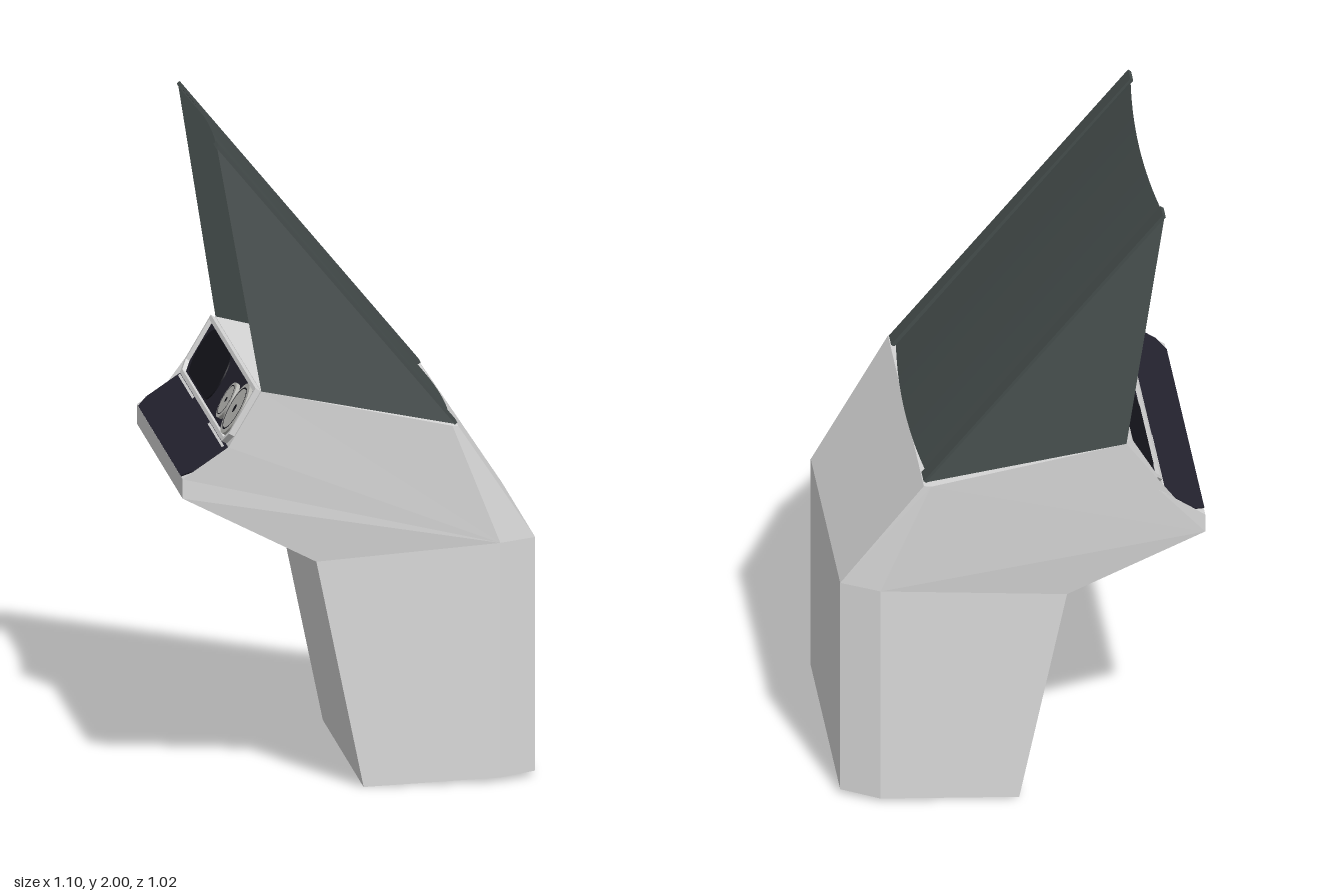
import * as THREE from 'three';

const mat = (name, color, double) => {
  const m = new THREE.MeshStandardMaterial({ color, side: double ? THREE.DoubleSide : THREE.FrontSide });
  m.name = name;
  return m;
};

// Flat-shaded geometry from polygons, each drawn as a fan from its first corner
function polygons(faces) {
  const pos = [];
  for (const f of faces)
    for (let i = 1; i < f.length - 1; i++) pos.push(...f[0], ...f[i], ...f[i + 1]);
  const g = new THREE.BufferGeometry();
  g.setAttribute('position', new THREE.Float32BufferAttribute(pos, 3));
  g.computeVertexNormals();
  return g;
}
const flip = ([x, y, z]) => [x, y, -z];
const mirrored = (f) => f.map(flip).reverse();

// Group lying on the plane through a (lower) and b (upper): local x = z, y = up the slope, z = outward
function slope(name, a, b) {
  const g = new THREE.Group();
  g.name = name;
  const u = new THREE.Vector3(b[0] - a[0], b[1] - a[1], 0).normalize();
  const n = new THREE.Vector3(-u.y, u.x, 0);
  g.quaternion.setFromRotationMatrix(new THREE.Matrix4().makeBasis(new THREE.Vector3(0, 0, 1), u, n));
  g.position.set((a[0] + b[0]) / 2, (a[1] + b[1]) / 2, 0);
  return g;
}

// Rectangle with its two lower corners cut
function cutRect(w, h, c, T = THREE.Shape) {
  const s = new T();
  s.moveTo(-w / 2 + c, -h / 2);
  s.lineTo(w / 2 - c, -h / 2);
  s.lineTo(w / 2, -h / 2 + c);
  s.lineTo(w / 2, h / 2);
  s.lineTo(-w / 2, h / 2);
  s.lineTo(-w / 2, -h / 2 + c);
  s.closePath();
  return s;
}

export function createModel() {
  const model = new THREE.Group();
  const shell = mat('light grey shell', 0xd8d8d8);
  const hoodMat = mat('dark grey green hood', 0x444c4b, true);
  const navy = mat('dark navy', 0x24232f);
  const black = mat('near black', 0x15151c);
  const metal = mat('gauge grey', 0xb8b8b4);
  const add = (parent, name, geo, m, x = 0, y = 0, z = 0) => {
    const mesh = new THREE.Mesh(geo, m);
    mesh.name = name;
    mesh.position.set(x, y, z);
    parent.add(mesh);
    return mesh;
  };

  // Body outline, counterclockwise, third value is the half width
  const P = [
    [0.01, 0, 0.455], [0.43, 0.012, 0.435], [0.545, 0.015, 0.37], [0.545, 0.74, 0.37],
    [0.3, 1.11, 0.45], [0.28, 1.115, 0.465], [-0.31, 1.25, 0.51], [-0.41, 1.08, 0.51],
    [-0.55, 0.985, 0.51], [-0.55, 0.925, 0.51], [-0.135, 0.705, 0.46],
  ];
  const E = [0.43, 0.74, 0.435];
  const faces = P.map((p, i) => {
    const q = P[(i + 1) % P.length];
    return [p, flip(p), flip(q), q];
  });
  const sides = [
    [P[0], P[1], E, P[10]],
    [P[1], P[2], P[3], E],
    [E, P[3], P[4], P[5]],
    [E, P[9], P[10]],
    [E, P[5], P[6], P[7], P[8], P[9]],
  ];
  for (const f of sides) faces.push(f, mirrored(f));
  add(model, 'body', polygons(faces), shell);

  // Hood: two triangular cheeks, a gently bowed roof and a rail on each edge
  const hood = new THREE.Group();
  hood.name = 'hood';
  model.add(hood);
  const cheek = [[0.295, 1.113, 0.435], [-0.435, 1.995, 0.435], [-0.31, 1.25, 0.51]];
  add(hood, 'leftCheek', polygons([cheek]), hoodMat);
  add(hood, 'rightCheek', polygons([mirrored(cheek)]), hoodMat);

  const roof = new THREE.PlaneGeometry(0.84, 1, 16, 1);
  const rp = roof.attributes.position;
  for (let i = 0; i < rp.count; i++) {
    const z = -rp.getX(i), t = rp.getY(i) + 0.5;
    const bow = 1 - (z / 0.42) ** 2;
    rp.setXYZ(i, 0.28 - 0.715 * t + 0.024 * bow, 1.118 + 0.874 * t - 0.008 * bow, z);
  }
  roof.computeVertexNormals();
  add(hood, 'roof', roof, hoodMat);

  for (const s of [1, -1]) {
    const rail = add(hood, s > 0 ? 'leftRail' : 'rightRail',
      new THREE.BoxGeometry(0.012, 1.145, 0.055), hoodMat, -0.07, 1.556, s * 0.408);
    rail.rotation.z = Math.atan2(0.73, 0.885);
  }

  // Instrument panel with a raised frame
  const panel = slope('instrumentPanel', P[7], P[6]);
  model.add(panel);
  add(panel, 'panelPlate', new THREE.ExtrudeGeometry(cutRect(0.99, 0.19, 0.03),
    { depth: 0.005, bevelEnabled: false }), navy);
  const frame = cutRect(1.0, 0.195, 0.035);
  frame.holes.push(cutRect(0.975, 0.17, 0.03, THREE.Path));
  add(panel, 'panelFrame', new THREE.ExtrudeGeometry(frame, { depth: 0.018, bevelEnabled: false }), shell);

  // Dark display with rounded ends
  const d = new THREE.Shape();
  d.absarc(-0.06, 0, 0.078, -Math.PI / 2, Math.PI / 2);
  d.absarc(-0.38, 0, 0.078, Math.PI / 2, Math.PI * 1.5);
  add(panel, 'display', new THREE.ExtrudeGeometry(d,
    { depth: 0.004, bevelEnabled: false, curveSegments: 20 }), black, 0, 0, 0.005);

  // Two round gauges with dark ring and hub
  for (const [name, x, y, r] of [['largeGauge', 0.395, 0, 0.085], ['smallGauge', 0.24, -0.01, 0.06]]) {
    const g = new THREE.Group();
    g.name = name;
    g.position.set(x, y, 0.005);
    panel.add(g);
    add(g, 'dial', new THREE.CylinderGeometry(r, r, 0.012, 32).rotateX(Math.PI / 2), metal, 0, 0, 0.006);
    add(g, 'ring', new THREE.RingGeometry(r * 0.78, r * 0.84, 32), black, 0, 0, 0.0135);
    add(g, 'hub', new THREE.CircleGeometry(r * 0.16, 16), black, 0, 0, 0.0135);
  }

  // Sloping desk with cut outer corners and two pale trim strips
  const desk = slope('desk', P[8], P[7]);
  model.add(desk);
  add(desk, 'deskTop', new THREE.ExtrudeGeometry(cutRect(1.016, 0.168, 0.035),
    { depth: 0.004, bevelEnabled: false }), navy);
  for (const s of [1, -1])
    add(desk, 'trimStrip', new THREE.BoxGeometry(0.3, 0.008, 0.006), shell, s * 0.33, 0.072, 0.006);

  return model;
}
